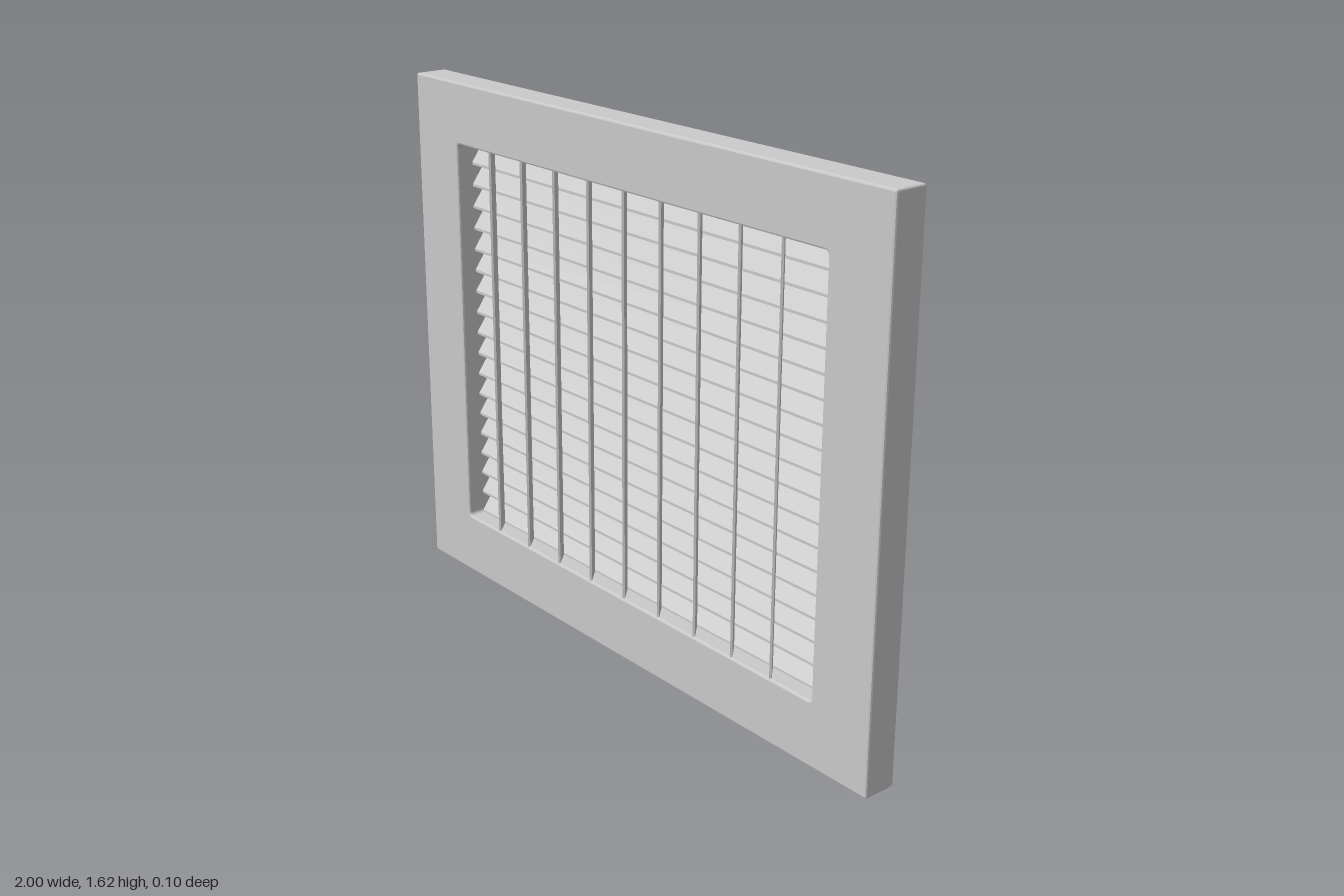
import * as THREE from 'three';

const W = 2, H = 1.62, D = 0.104;           // outer size
const OX = 0.79, Y0 = 0.197, Y1 = 1.43;     // opening

const metal = new THREE.MeshStandardMaterial({ color: 0xcacaca });
metal.name = 'greyMetal';

function roundedRect(path, x0, y0, x1, y1, r) {
  path.moveTo(x0 + r, y0);
  path.lineTo(x1 - r, y0);
  path.quadraticCurveTo(x1, y0, x1, y0 + r);
  path.lineTo(x1, y1 - r);
  path.quadraticCurveTo(x1, y1, x1 - r, y1);
  path.lineTo(x0 + r, y1);
  path.quadraticCurveTo(x0, y1, x0, y1 - r);
  path.lineTo(x0, y0 + r);
  path.quadraticCurveTo(x0, y0, x0 + r, y0);
  return path;
}

function addMesh(parent, geometry, name) {
  const mesh = new THREE.Mesh(geometry, metal);
  mesh.name = name;
  parent.add(mesh);
  return mesh;
}

export function createModel() {
  const model = new THREE.Group();
  model.name = 'ventGrille';

  // Flat surround with softened edges and a rectangular opening
  const bevel = 0.006;
  const outline = roundedRect(new THREE.Shape(), -W / 2, 0, W / 2, H, 0.008);
  outline.holes.push(roundedRect(new THREE.Path(), -OX, Y0, OX, Y1, 0.014));
  const frameGeo = new THREE.ExtrudeGeometry(outline, {
    depth: D - 2 * bevel, bevelEnabled: true, bevelThickness: bevel,
    bevelSize: bevel, bevelOffset: -bevel, bevelSegments: 2, curveSegments: 4,
  });
  frameGeo.translate(0, 0, -D / 2 + bevel);
  addMesh(model, frameGeo, 'frame');

  // Horizontal slats: low at the front, high at the back, overlapping
  const slats = new THREE.Group();
  slats.name = 'slats';
  model.add(slats);
  const count = 18, pitch = (Y1 - Y0) / count;
  const zBack = -D / 2 + 0.002, zFront = -0.002, rise = 0.066, t = 0.008;
  // Profile drawn with x = z and y = height, then turned to run along x
  const profile = new THREE.Shape([
    new THREE.Vector2(zFront, 0), new THREE.Vector2(zFront, t),
    new THREE.Vector2(zBack, rise + t), new THREE.Vector2(zBack, rise - 0.004),
  ]);
  const slatGeo = new THREE.ExtrudeGeometry(profile, { depth: 2 * OX, bevelEnabled: false });
  slatGeo.translate(0, 0, -OX);
  slatGeo.rotateY(-Math.PI / 2);
  slatGeo.scale(1, 1, 1);
  for (let i = 0; i < count; i++) {
    addMesh(slats, slatGeo, 'slat').position.y = Y0 + i * pitch - 0.002;
  }

  // Upright blades in front of the slats, turned toward the left
  const blades = new THREE.Group();
  blades.name = 'blades';
  model.add(blades);
  const bladeGeo = new THREE.BoxGeometry(0.007, Y1 - Y0 + 0.004, 0.062);
  for (let i = 0; i < 9; i++) {
    const blade = addMesh(blades, bladeGeo, 'blade');
    blade.position.set(-0.648 + i * 0.157, (Y0 + Y1) / 2, 0.024);
    blade.rotation.y = THREE.MathUtils.degToRad(43);
  }

  return model;
}
